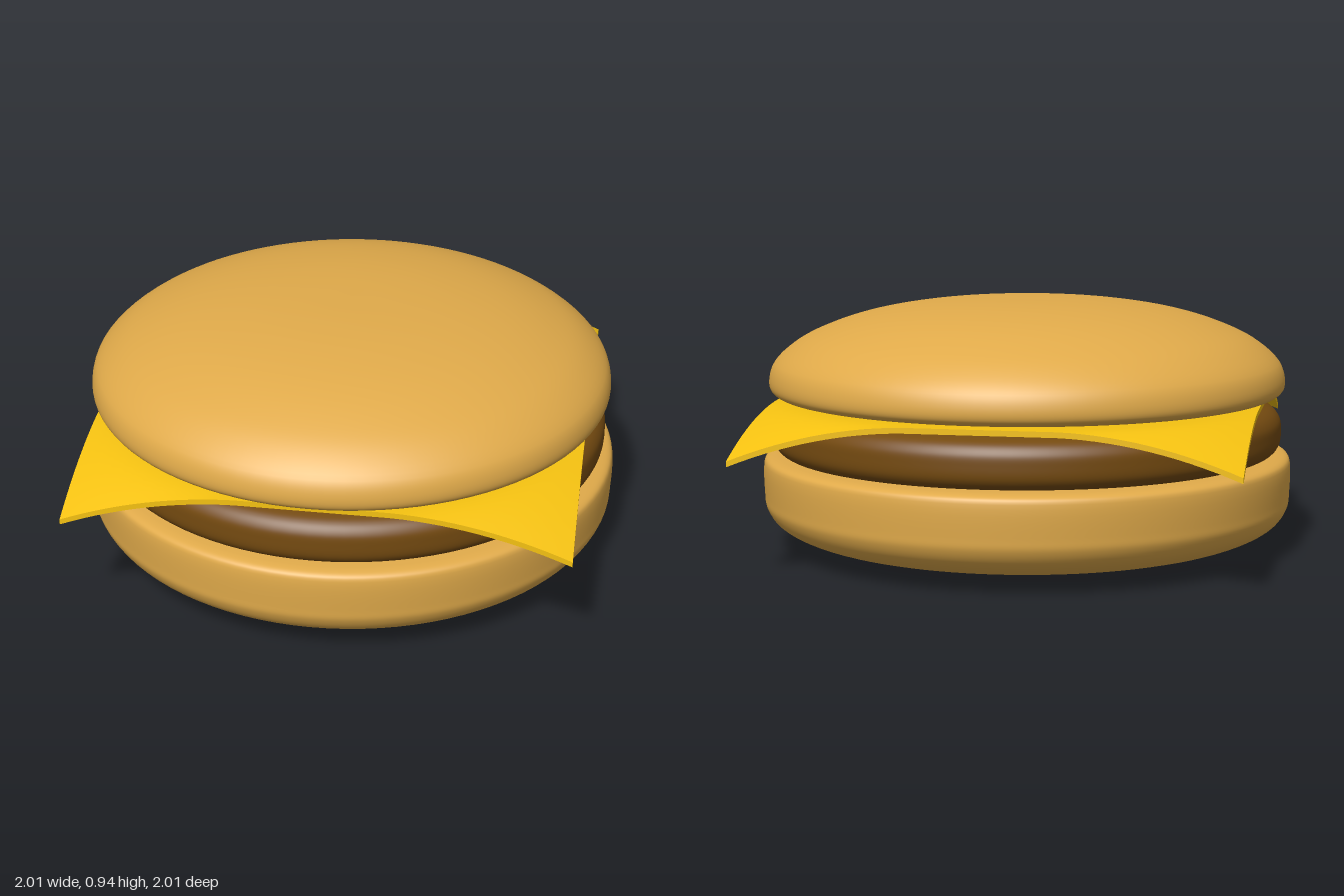
import * as THREE from 'three';

const material = (color) => new THREE.MeshStandardMaterial({ color });

// Smooth round layer spun from [radius, height] points, listed bottom to top
function roundLayer(name, color, points) {
  const curve = new THREE.CatmullRomCurve3(
    points.map(([r, y]) => new THREE.Vector3(r, y, 0)), false, 'centripetal');
  const profile = curve.getPoints(60).map((p) => new THREE.Vector2(Math.max(0, p.x), p.y));
  const mesh = new THREE.Mesh(new THREE.LatheGeometry(profile, 96), material(color));
  mesh.name = name;
  return mesh;
}

// Thin square slice whose corners droop beyond the patty's rim
function cheeseSlice() {
  const geometry = new THREE.BoxGeometry(1.8, 0.02, 1.8, 40, 1, 40);
  const pos = geometry.attributes.position;
  for (let i = 0; i < pos.count; i++) {
    const r = Math.hypot(pos.getX(i), pos.getZ(i));
    const t = Math.max(0, (r - 0.94) / 0.333);
    pos.setY(i, pos.getY(i) + 0.556 - 0.137 * Math.pow(t, 1.4));
  }
  geometry.computeVertexNormals();
  const mesh = new THREE.Mesh(geometry, material(0xf5c211));
  mesh.name = 'cheeseSlice';
  return mesh;
}

export function createModel() {
  const burger = new THREE.Group();
  burger.name = 'cheeseburger';
  const bunColor = 0xe0aa4a;

  // Bottom bun: gently domed base, straight wall, flat top
  burger.add(roundLayer('bottomBun', bunColor, [
    [0, 0], [0.4, 0.01], [0.7, 0.03], [0.87, 0.062], [0.96, 0.11], [0.995, 0.165],
    [1, 0.21], [1, 0.33], [0.99, 0.348], [0.95, 0.36], [0.5, 0.362], [0, 0.362],
  ]));

  // Patty: flat disc with a rounded rim
  burger.add(roundLayer('patty', 0x744a10, [
    [0, 0.36], [0.88, 0.36], [0.935, 0.37], [0.96, 0.4], [0.965, 0.45],
    [0.96, 0.49], [0.935, 0.522], [0.88, 0.54], [0, 0.542],
  ]));

  burger.add(cheeseSlice());

  // Top bun: flat underside, tucked lip and low dome
  burger.add(roundLayer('topBun', bunColor, [
    [0, 0.572], [0.6, 0.575], [0.9, 0.58], [0.955, 0.59], [0.974, 0.61], [0.976, 0.65],
    [0.955, 0.705], [0.87, 0.78], [0.75, 0.838], [0.6, 0.885], [0.4, 0.92], [0.2, 0.936], [0, 0.94],
  ]));

  return burger;
}
